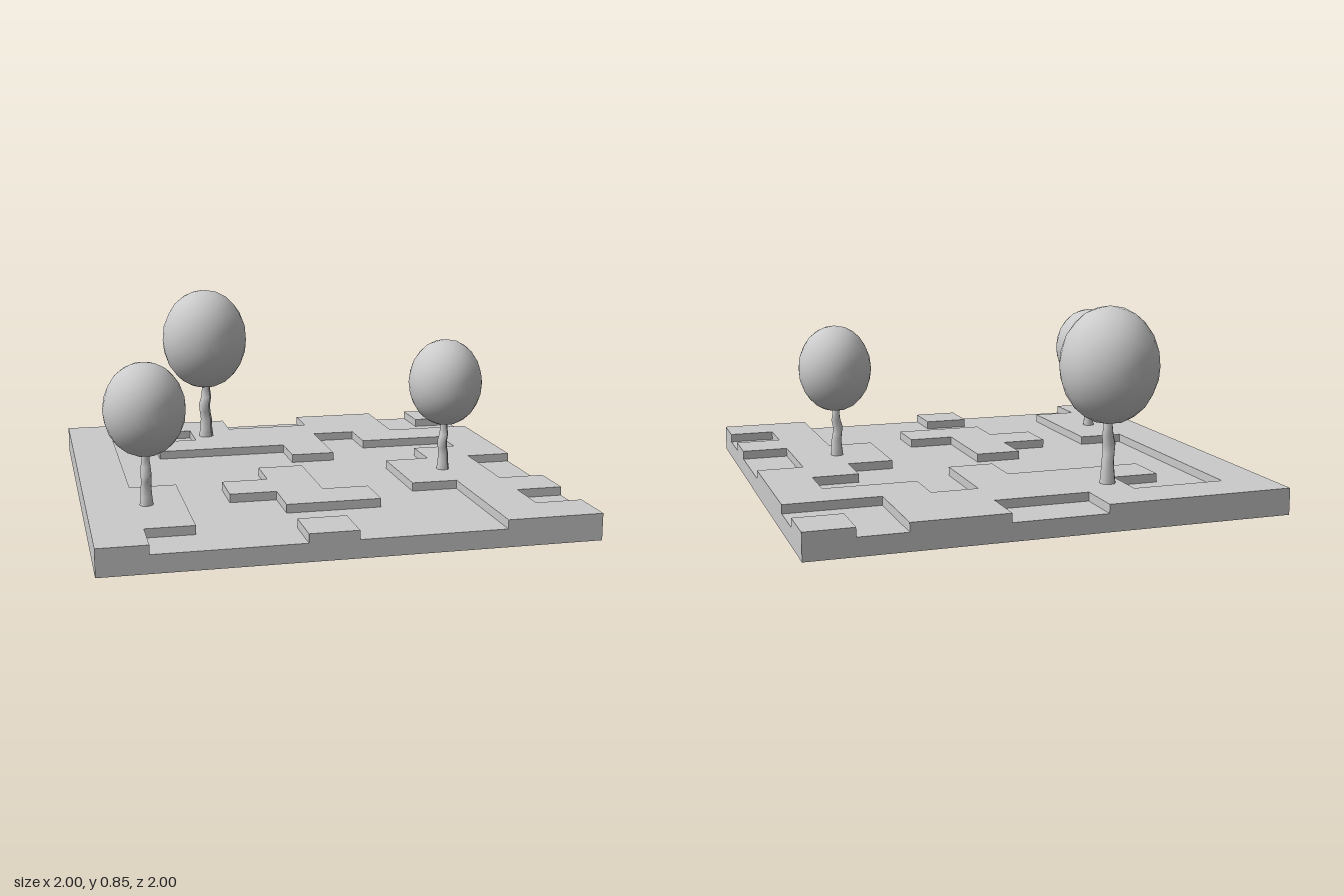
import * as THREE from 'three';
import { mergeVertices } from 'three/addons/utils/BufferGeometryUtils.js';

const LOW = 0.075, HIGH = 0.112, CELL = 0.2;

// Tile map, back row first, # = raised tile
const MAP = [
  '####..##.#',
  '#..#####..',
  '#.####.###',
  '#....#...#',
  '#.......##',
  '#...#..##.',
  '##.##..##.',
  '##..##..##',
  '##......#.',
  '#...#...##',
];

const heightAt = (col, row) => {
  const tile = MAP[row]?.[col];
  return tile === undefined ? 0 : tile === '#' ? HIGH : LOW;
};

// Terrain: a top for every tile, and a wall wherever the neighbour is lower
function terrainGeometry() {
  const pos = [];
  const quad = (a, b, c, d) => pos.push(...a, ...b, ...c, ...a, ...c, ...d);
  for (let row = 0; row < 10; row++) {
    for (let col = 0; col < 10; col++) {
      const x0 = col * CELL - 1, x1 = x0 + CELL;
      const z0 = row * CELL - 1, z1 = z0 + CELL;
      const h = heightAt(col, row);
      quad([x0, h, z1], [x1, h, z1], [x1, h, z0], [x0, h, z0]);
      // Edges run so that each wall faces away from its tile
      const edges = [
        [0, 1, x0, z1, x1, z1], [1, 0, x1, z1, x1, z0],
        [0, -1, x1, z0, x0, z0], [-1, 0, x0, z0, x0, z1],
      ];
      for (const [dc, dr, ax, az, bx, bz] of edges) {
        const n = heightAt(col + dc, row + dr);
        if (n < h) quad([ax, n, az], [bx, n, bz], [bx, h, bz], [ax, h, az]);
      }
    }
  }
  quad([-1, 0, -1], [1, 0, -1], [1, 0, 1], [-1, 0, 1]); // underside
  const geo = new THREE.BufferGeometry();
  geo.setAttribute('position', new THREE.Float32BufferAttribute(pos, 3));
  geo.computeVertexNormals();
  return geo;
}

// Trunk rings from the ground up: height, sideways bend, radius
const RINGS = [
  [0, 0, 0.028], [0.035, 0, 0.024], [0.07, 0.002, 0.022], [0.1, -0.005, 0.021],
  [0.13, -0.008, 0.022], [0.16, 0.003, 0.02], [0.19, 0.002, 0.016], [0.25, 0, 0.015],
];

function trunkGeometry() {
  const n = RINGS.length - 1;
  const geo = new THREE.CylinderGeometry(1, 1, 1, 8, n, true);
  const p = geo.attributes.position;
  for (let i = 0; i < p.count; i++) {
    const [y, bend, r] = RINGS[Math.round((p.getY(i) + 0.5) * n)];
    p.setXYZ(i, p.getX(i) * r + bend, y, p.getZ(i) * r);
  }
  geo.computeVertexNormals();
  return geo;
}

// Round crown with shared vertices for smooth shading
function crownGeometry() {
  let geo = new THREE.IcosahedronGeometry(1, 3);
  geo.deleteAttribute('normal');
  geo.deleteAttribute('uv');
  geo = mergeVertices(geo, 1e-4);
  geo.computeVertexNormals();
  return geo;
}

export function createModel() {
  const model = new THREE.Group();
  model.name = 'tiledGroundWithTrees';
  const material = new THREE.MeshStandardMaterial({ color: 0xcccccc });
  const add = (parent, name, geo) => {
    const mesh = new THREE.Mesh(geo, material);
    mesh.name = name;
    parent.add(mesh);
    return mesh;
  };

  add(model, 'ground', terrainGeometry());

  // Trees: trunk x and z, trunk scale and turn, crown centre and radii
  const trees = [
    { name: 'largeTree', at: [-0.335, -0.68], scale: 1.25, turn: 0.7,
      crown: [-0.337, 0.602, -0.678], radii: [0.206, 0.243, 0.202] },
    { name: 'leftTree', at: [0.607, 0.195], scale: 1, turn: 0.6,
      crown: [0.61, 0.508, 0.195], radii: [0.162, 0.193, 0.166] },
    { name: 'rightTree', at: [-0.755, 0.475], scale: 1, turn: Math.PI / 2,
      crown: [-0.755, 0.508, 0.477], radii: [0.167, 0.193, 0.167] },
  ];
  const trunk = trunkGeometry(), crown = crownGeometry();
  for (const t of trees) {
    const tree = new THREE.Group();
    tree.name = t.name;
    model.add(tree);
    const stem = add(tree, 'trunk', trunk);
    stem.position.set(t.at[0], HIGH, t.at[1]);
    stem.scale.setScalar(t.scale);
    stem.rotation.y = t.turn;
    const top = add(tree, 'crown', crown);
    top.position.set(...t.crown);
    top.scale.set(...t.radii);
  }
  return model;
}
